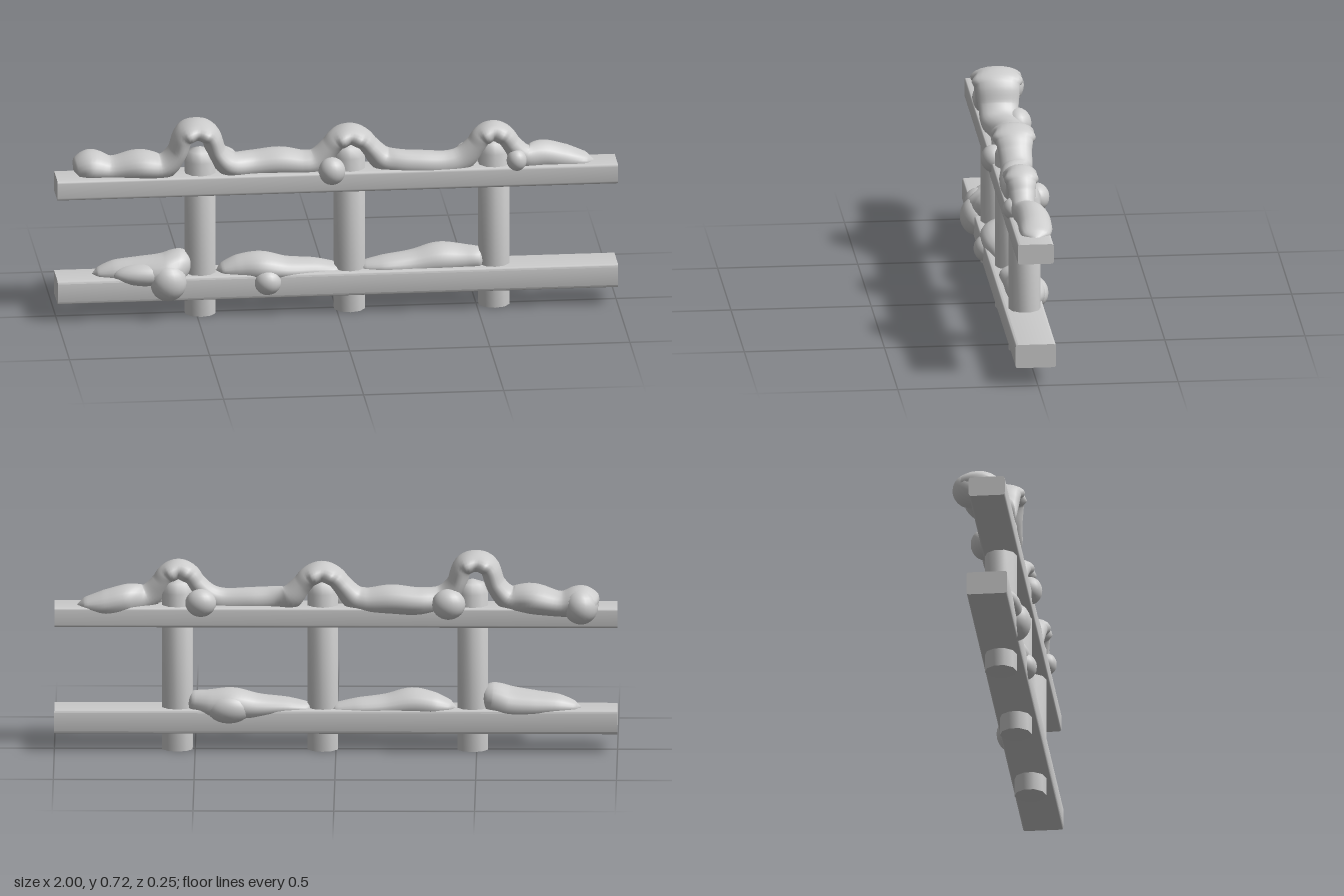
import * as THREE from 'three';
import { toCreasedNormals } from 'three/addons/utils/BufferGeometryUtils.js';

const material = new THREE.MeshStandardMaterial({ color: 0xcccccc });

function add(parent, name, geometry) {
  const mesh = new THREE.Mesh(geometry, material);
  mesh.name = name;
  parent.add(mesh);
  return mesh;
}

// Beam along x with softened long edges
function rail(y0, y1, z0, z1) {
  const r = 0.01;
  const s = new THREE.Shape();
  s.moveTo(-z1 + r, y0);
  s.lineTo(-z0 - r, y0);
  s.quadraticCurveTo(-z0, y0, -z0, y0 + r);
  s.lineTo(-z0, y1 - r);
  s.quadraticCurveTo(-z0, y1, -z0 - r, y1);
  s.lineTo(-z1 + r, y1);
  s.quadraticCurveTo(-z1, y1, -z1, y1 - r);
  s.lineTo(-z1, y0 + r);
  s.quadraticCurveTo(-z1, y0, -z1 + r, y0);
  const g = new THREE.ExtrudeGeometry(s, { depth: 2, bevelEnabled: false, curveSegments: 3 });
  g.translate(0, 0, -1).rotateY(Math.PI / 2);
  return toCreasedNormals(g, 0.7);
}

// Snow strand: elliptical rings along a path of [x, y, z, thickness, half depth]
function strand(stations) {
  const path = new THREE.CatmullRomCurve3(stations.map(s => new THREE.Vector3(s[0], s[1], s[2])));
  const radii = new THREE.CatmullRomCurve3(stations.map(s => new THREE.Vector3(s[3], s[4], 0)));
  const rings = (stations.length - 1) * 6, sides = 20;
  const pos = [], index = [];
  for (let i = 0; i <= rings; i++) {
    const t = i / rings;
    const p = path.getPoint(t), d = path.getTangent(t).setZ(0).normalize();
    const r = radii.getPoint(t);
    const rn = Math.max(r.x, 0.002), rz = Math.max(r.y, 0.002);
    for (let j = 0; j < sides; j++) {
      const a = (j / sides) * Math.PI * 2;
      const n = Math.cos(a) * rn;
      pos.push(p.x - d.y * n, p.y + d.x * n, p.z + Math.sin(a) * rz);
      if (i === rings) continue;
      const k = i * sides, b = k + (j + 1) % sides;
      index.push(k + j, b, k + j + sides, b, b + sides, k + j + sides);
    }
  }
  const g = new THREE.BufferGeometry();
  g.setAttribute('position', new THREE.Float32BufferAttribute(pos, 3));
  g.setIndex(index);
  g.computeVertexNormals();
  return g;
}

// Stations that carry the snow up and over a post top
function arch(c, top, half, z, depth) {
  const rn = 0.036, y = top - rn, w = half - rn;
  return [
    [c - w - 0.045, 0.55, z, 0.045, depth * 0.85],
    [c - w, 0.598, z, rn, depth * 0.9],
    [c - w * 0.62, y - 0.018, z, rn, depth],
    [c, y, z, rn, depth],
    [c + w * 0.62, y - 0.018, z, rn, depth],
    [c + w, 0.598, z, rn, depth * 0.9],
    [c + w + 0.045, 0.55, z, 0.045, depth * 0.85],
  ];
}

export function createModel() {
  const fence = new THREE.Group();
  fence.name = 'snowyFence';

  // Timber
  add(fence, 'topRail', rail(0.452, 0.525, -0.057, 0.072));
  add(fence, 'bottomRail', rail(0.067, 0.153, -0.065, 0.08));
  const R = 0.057;
  const profile = [[0, 0], [R, 0], [R, 0.57], [R * 0.75, 0.605], [0, 0.62]];
  const post = toCreasedNormals(
    new THREE.LatheGeometry(profile.map(p => new THREE.Vector2(...p)), 10), Math.PI / 3);
  for (const x of [-0.485, 0.047, 0.563]) add(fence, 'post', post).position.set(x, 0, 0.006);

  // Snow lying along the top rail and over the posts
  const snow = new THREE.Group();
  snow.name = 'snow';
  fence.add(snow);
  add(snow, 'topSnow', strand([
    [-0.932, 0.53, -0.035, 0, 0],
    [-0.92, 0.535, -0.035, 0.04, 0.06],
    [-0.87, 0.545, -0.035, 0.058, 0.085],
    [-0.8, 0.535, -0.027, 0.045, 0.07],
    [-0.7, 0.55, -0.012, 0.055, 0.085],
    ...arch(-0.497, 0.72, 0.108, 0.005, 0.08),
    [-0.3, 0.54, -0.015, 0.05, 0.065],
    [-0.2, 0.545, -0.013, 0.055, 0.066],
    [-0.11, 0.54, -0.005, 0.047, 0.062],
    ...arch(0.05, 0.682, 0.108, -0.002, 0.067),
    [0.22, 0.54, 0.015, 0.048, 0.048],
    [0.3, 0.535, 0.02, 0.048, 0.05],
    [0.4, 0.532, 0.022, 0.048, 0.045],
    ...arch(0.56, 0.685, 0.1, 0.02, 0.052),
    [0.74, 0.545, -0.004, 0.054, 0.058],
    [0.82, 0.53, -0.008, 0.048, 0.06],
    [0.89, 0.525, -0.003, 0.025, 0.05],
    [0.925, 0.52, 0, 0, 0],
  ]));

  // Three drifts on the bottom rail, between the posts
  add(snow, 'leftDrift', strand([
    [-0.87, 0.155, 0, 0, 0],
    [-0.85, 0.155, 0, 0.02, 0.035],
    [-0.79, 0.16, 0, 0.04, 0.06],
    [-0.7, 0.16, 0.008, 0.052, 0.078],
    [-0.61, 0.165, 0.018, 0.06, 0.09],
    [-0.555, 0.18, 0.012, 0.06, 0.07],
    [-0.53, 0.18, 0.01, 0.045, 0.05],
    [-0.51, 0.175, 0.01, 0, 0],
  ]));
  add(snow, 'middleDrift', strand([
    [-0.43, 0.15, 0, 0, 0],
    [-0.405, 0.155, 0, 0.022, 0.045],
    [-0.35, 0.16, 0, 0.045, 0.065],
    [-0.27, 0.165, 0.012, 0.054, 0.075],
    [-0.18, 0.155, 0.01, 0.042, 0.07],
    [-0.08, 0.15, 0, 0.036, 0.06],
    [0, 0.148, 0, 0.02, 0.045],
    [0.03, 0.148, 0, 0, 0],
  ]));
  add(snow, 'rightDrift', strand([
    [0.08, 0.148, 0, 0, 0],
    [0.1, 0.15, 0, 0.02, 0.04],
    [0.17, 0.155, 0, 0.032, 0.06],
    [0.28, 0.155, -0.01, 0.048, 0.065],
    [0.37, 0.165, -0.015, 0.06, 0.072],
    [0.45, 0.165, -0.012, 0.052, 0.065],
    [0.51, 0.17, 0, 0.04, 0.05],
    [0.54, 0.17, 0, 0, 0],
  ]));

  // Lumps sagging over the rail edges: x, y, z, then radii
  const ball = new THREE.SphereGeometry(1, 20, 14);
  const lumps = [
    [-0.87, 0.533, -0.06, 0.062, 0.064, 0.068],
    [-0.4, 0.54, -0.06, 0.06, 0.055, 0.05],
    [-0.02, 0.53, 0.062, 0.048, 0.05, 0.045],
    [0.64, 0.548, 0.056, 0.036, 0.04, 0.036],
    [0.48, 0.54, -0.045, 0.055, 0.05, 0.045],
    [-0.605, 0.135, 0.07, 0.066, 0.068, 0.056],
    [-0.68, 0.16, 0.05, 0.12, 0.042, 0.05],
    [-0.25, 0.125, 0.065, 0.05, 0.048, 0.046],
    [0.38, 0.155, -0.05, 0.08, 0.052, 0.046],
  ];
  for (const [x, y, z, rx, ry, rz] of lumps) {
    const lump = add(snow, 'snowLump', ball);
    lump.position.set(x, y, z);
    lump.scale.set(rx, ry, rz);
  }
  return fence;
}
